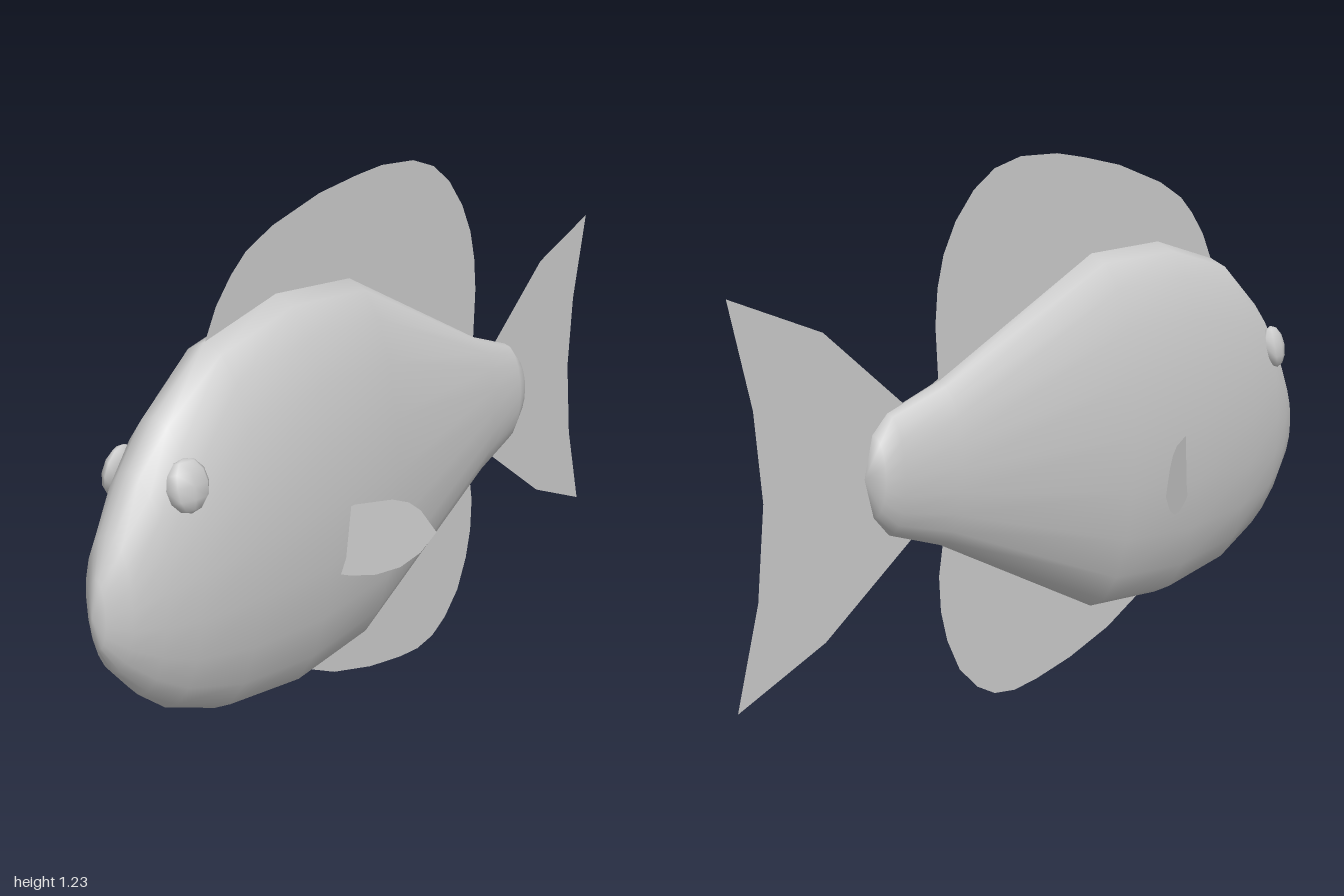
import * as THREE from 'three';

const SIDES = 20;

// Body stations from nose to tail: z, top y, bottom y, half width
const STATIONS = [
  [0.985, 0.56, 0.415, 0.022],
  [0.95, 0.64, 0.355, 0.06],
  [0.88, 0.75, 0.28, 0.088],
  [0.80, 0.84, 0.22, 0.112],
  [0.64, 0.955, 0.155, 0.137],
  [0.40, 1.01, 0.12, 0.144],
  [0.13, 0.995, 0.14, 0.132],
  [-0.41, 0.75, 0.39, 0.068],
  [-0.57, 0.70, 0.44, 0.05],
  [-0.615, 0.66, 0.485, 0.038],
];

// Outlines as [z, y]
const DORSAL = [[0.64, 0.95], [0.6, 1.02], [0.55, 1.075], [0.5, 1.115], [0.41, 1.155], [0.24, 1.2],
  [0.1, 1.22], [0, 1.23], [-0.13, 1.225], [-0.22, 1.2], [-0.29, 1.155], [-0.35, 1.09], [-0.39, 1.02],
  [-0.41, 0.95], [-0.418, 0.87], [-0.41, 0.74], [-0.3, 0.7], [0.3, 0.85]];
const ANAL = [[0.33, 0.13], [0.2, 0.072], [0.05, 0.03], [-0.08, 0.007], [-0.16, 0], [-0.23, 0.01],
  [-0.29, 0.04], [-0.35, 0.095], [-0.39, 0.17], [-0.41, 0.24], [-0.415, 0.32], [-0.4, 0.4],
  [-0.3, 0.45], [0.2, 0.25]];
const TAIL = [[-0.45, 0.665], [-0.5, 0.7], [-0.75, 0.885], [-1, 0.97], [-0.94, 0.75], [-0.92, 0.565],
  [-0.94, 0.37], [-1, 0.16], [-0.76, 0.25], [-0.5, 0.42], [-0.45, 0.46]];
const PECTORAL = [[0.4, 0.41], [0.33, 0.385], [0.27, 0.373], [0.21, 0.377], [0.16, 0.4], [0.12, 0.44],
  [0.16, 0.5], [0.19, 0.525], [0.23, 0.54], [0.32, 0.547], [0.4, 0.53]];

// Loft of elliptical rings closed by a point at each end
function bodyGeometry() {
  const pos = [], index = [];
  for (const [z, top, bottom, halfWidth] of STATIONS) {
    for (let i = 0; i < SIDES; i++) {
      const a = (i / SIDES) * Math.PI * 2;
      pos.push(Math.sin(a) * halfWidth, (top + bottom) / 2 + Math.cos(a) * (top - bottom) / 2, z);
    }
  }
  const nose = pos.length / 3, end = nose + 1, last = (STATIONS.length - 1) * SIDES;
  pos.push(0, 0.485, 1, 0, 0.57, -0.64);
  for (let i = 0; i < SIDES; i++) {
    const n = (i + 1) % SIDES;
    index.push(nose, n, i, end, last + i, last + n);
    for (let r = 0; r < last; r += SIDES) {
      const a = r + i, b = r + n;
      index.push(a, b, a + SIDES, b, b + SIDES, a + SIDES);
    }
  }
  const g = new THREE.BufferGeometry();
  g.setAttribute('position', new THREE.Float32BufferAttribute(pos, 3));
  g.setIndex(index);
  g.computeVertexNormals();
  return g;
}

// Flat fin in the z-y plane
function finGeometry(outline) {
  const shape = new THREE.Shape(outline.map(([z, y]) => new THREE.Vector2(z, y)));
  return new THREE.ShapeGeometry(shape).rotateY(-Math.PI / 2);
}

export function createModel() {
  const group = new THREE.Group();
  const skin = new THREE.MeshStandardMaterial({ color: 0xcccccc, side: THREE.DoubleSide });
  skin.name = 'pale grey';
  const add = (name, geometry) => {
    const mesh = new THREE.Mesh(geometry, skin);
    mesh.name = name;
    group.add(mesh);
    return mesh;
  };

  add('body', bodyGeometry());
  add('dorsalFin', finGeometry(DORSAL));
  add('analFin', finGeometry(ANAL));
  add('tailFin', finGeometry(TAIL));

  for (const [label, s] of [['left', 1], ['right', -1]]) {
    // Side fin flares outward toward its rear tip
    const fin = finGeometry(PECTORAL);
    const p = fin.attributes.position;
    for (let i = 0; i < p.count; i++) p.setX(i, s * (0.135 + (0.34 - p.getZ(i)) * 0.42));
    fin.computeVertexNormals();
    add(label + 'SideFin', fin);

    // Eye: flattened ball lying along the curve of the head
    const eye = add(label + 'Eye', new THREE.SphereGeometry(1, 8, 6));
    eye.scale.set(0.023, 0.055, 0.053);
    eye.position.set(s * 0.089, 0.717, 0.81);
    eye.rotation.set(0, -s * 0.2, s * 0.2);
  }
  return group;
}
